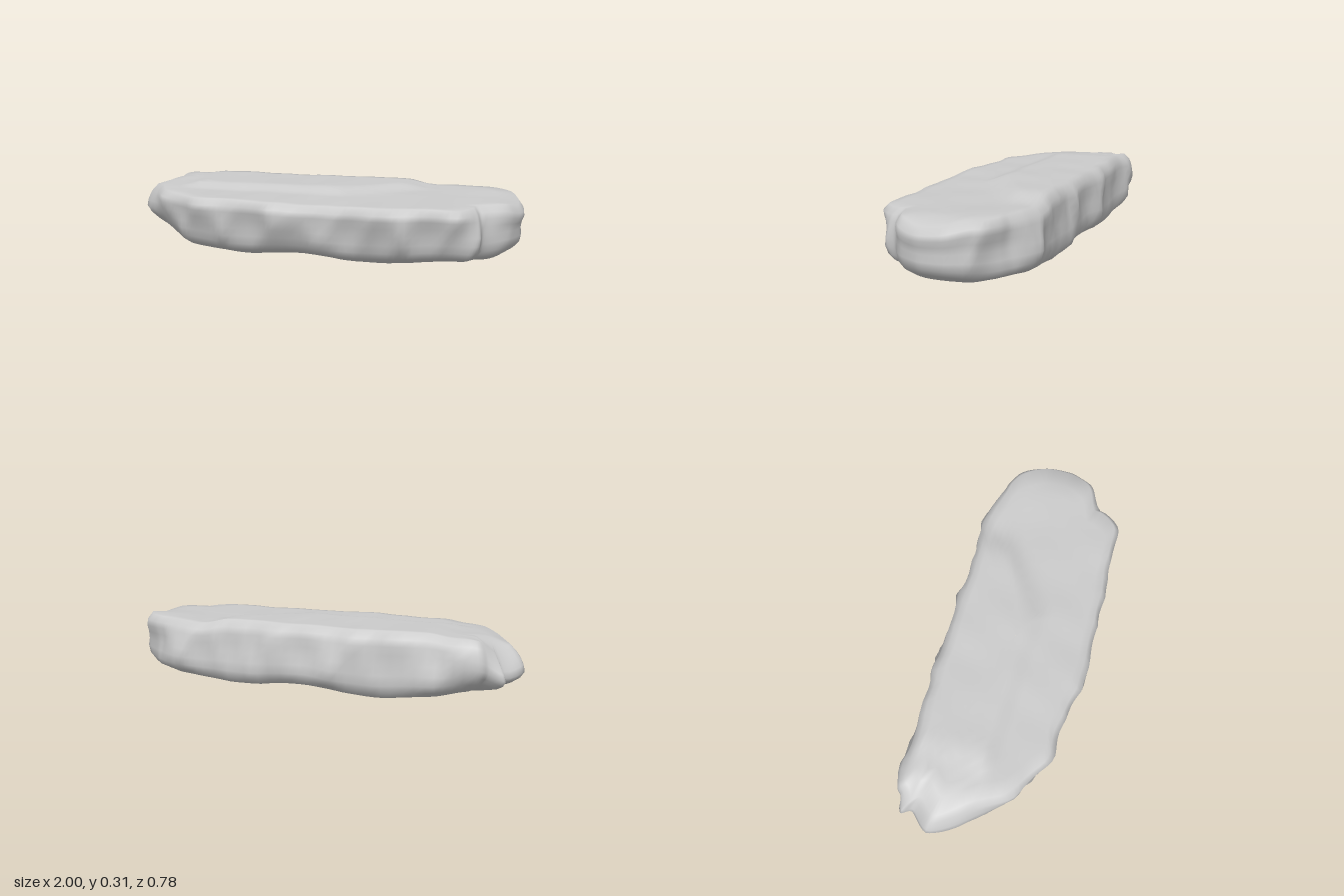
import * as THREE from 'three';

const { lerp, smoothstep } = THREE.MathUtils;

// Plan of the slab (x, z), from the left tip along the front and back again
const OUTLINE = [
  [-1, -0.12], [-0.94, 0.0], [-0.88, 0.09], [-0.78, 0.2], [-0.66, 0.27], [-0.54, 0.34],
  [-0.4, 0.345], [-0.25, 0.365], [-0.13, 0.38], [0.05, 0.375], [0.2, 0.37], [0.36, 0.35],
  [0.5, 0.34], [0.68, 0.33], [0.8, 0.3], [0.84, 0.265], [0.85, 0.22], [0.9, 0.17],
  [0.96, 0.1], [1, 0], [0.99, -0.12], [0.93, -0.23], [0.84, -0.31], [0.78, -0.335],
  [0.68, -0.375], [0.6, -0.385], [0.45, -0.375], [0.25, -0.37], [0, -0.365], [-0.2, -0.36],
  [-0.4, -0.35], [-0.65, -0.34], [-0.85, -0.33], [-0.89, -0.3], [-0.95, -0.27], [-0.93, -0.22],
];

// Wall profile: height fraction, and how far the wall steps in on each side
const LEVELS = [0, 0.08, 0.2, 0.35, 0.5, 0.65, 0.78, 0.89, 1];
const FRONT = [0.1, 0.065, 0.042, 0.028, 0.02, 0.01, 0.004, 0, 0.025];
const BACK = [0.045, 0.018, 0, 0, 0.006, 0.012, 0.018, 0.028, 0.06];
const LEFT = [0.17, 0.11, 0.06, 0.02, 0, 0.01, 0.025, 0.045, 0.08];
const RIGHT = [0.09, 0.04, 0.014, 0.008, 0.012, 0.008, 0, 0.004, 0.03];

const ripple = (a, b) =>
  0.5 * Math.sin(7 * a + 5 * b + 1.3) + 0.3 * Math.sin(17 * a - 9 * b) + 0.2 * Math.sin(29 * a + 13 * b);

// Hollow chips with sharp ridges between them, slanting across the wall
function chips(x, z, f) {
  const large = Math.abs(Math.sin(7.5 * x + 6 * z + 1.6 * f + 0.8 * ripple(x, z)));
  const small = Math.abs(Math.sin(15 * x - 9 * z - 2.4 * f + ripple(z, x)));
  return (0.026 * large + 0.012 * small - 0.014) * (0.45 + 0.55 * Math.sin(Math.PI * f));
}

// Top face: nearly level, with a raised shelf towards the back
function topHeight(x, z) {
  const shelf = Math.min(0.08 - z, 0.6 * (0.22 - x) + 0.8 * (0.02 - z), 0.8 * (x + 0.66), 0.8 * (0.47 - x));
  const notch = Math.hypot(x + 0.94, z + 0.22);
  return 0.287 - 0.03 * Math.max(z, 0) + 0.024 * smoothstep(shelf, -0.05, 0.06)
    + 0.01 * smoothstep(Math.abs(x), 0.5, 0.8) * smoothstep(-z, 0, 0.2)
    - 0.05 * smoothstep(-x, 0.78, 1) - 0.03 * smoothstep(x, 0.92, 1)
    - 0.05 * (1 - smoothstep(notch, 0.02, 0.13)) + 0.004 * ripple(x, z);
}

// Underside: shallow lumps, lifting at both ends
function bottomHeight(x, z) {
  return 0.018 - 0.013 * Math.cos(9 * (x + 0.34)) * smoothstep(Math.abs(z), 0.02, 0.22)
    + 0.03 * smoothstep(-x, 0.6, 0.85) + 0.035 * smoothstep(x, 0.82, 1) + 0.005 * ripple(z, x);
}

function stoneGeometry() {
  const curve = new THREE.CatmullRomCurve3(
    OUTLINE.map(([x, z]) => new THREE.Vector3(x, 0, z)), true, 'catmullrom', 0.35);
  const count = 180;
  const plan = Array.from({ length: count }, (_, i) => curve.getPoint(i / count));

  // A point of the wall, pulled towards the middle spine by the profile
  function wallPoint(p, k) {
    const f = LEVELS[k];
    const side = lerp(BACK[k], FRONT[k], smoothstep(p.z, -0.15, 0.15));
    const end = (p.x < 0 ? LEFT : RIGHT)[k];
    let inset = lerp(side, end, smoothstep(Math.abs(p.x), 0.65, 0.96));
    inset += chips(p.x, p.z, f) * (1 - 0.8 * smoothstep(Math.abs(p.x), 0.88, 0.98));
    // chipped front corner: the lower half sticks out
    const corner = Math.hypot(p.x - 0.85, p.z - 0.24);
    inset += 0.045 * (1 - smoothstep(corner, 0.02, 0.16)) * smoothstep(f, 0.4, 0.9);
    const dx = Math.max(-0.6, Math.min(0.6, p.x)) - p.x;
    const d = Math.hypot(dx, p.z);
    const x = p.x + dx / d * inset, z = p.z - p.z / d * inset;
    return [x, lerp(bottomHeight(x, z), topHeight(x, z), f), z];
  }

  // Rings run from the middle of the underside, up the wall, to the middle of the top
  const cap = Array.from({ length: 14 }, (_, j) => Math.max(0.001, j / 14.4));
  const capRing = (k, s, height) => plan.map((p) => {
    const [x, , z] = wallPoint(p, k);
    return [x * s, height(x * s, z * s), z * s];
  });
  const rings = [
    ...cap.map((s) => capRing(0, s, bottomHeight)),
    ...LEVELS.map((_, k) => plan.map((p) => wallPoint(p, k))),
    ...cap.toReversed().map((s) => capRing(LEVELS.length - 1, s, topHeight)),
  ];

  const index = [];
  for (let r = 0; r < rings.length - 1; r++) {
    for (let i = 0; i < count; i++) {
      const a = r * count + i, b = r * count + (i + 1) % count;
      index.push(a, b, b + count, a, b + count, a + count);
    }
  }
  const geometry = new THREE.BufferGeometry();
  geometry.setAttribute('position', new THREE.Float32BufferAttribute(rings.flat(2), 3));
  geometry.setIndex(index);

  // Settle on the ground, centred
  geometry.computeBoundingBox();
  const mid = geometry.boundingBox.getCenter(new THREE.Vector3());
  geometry.translate(-mid.x, -geometry.boundingBox.min.y, -mid.z);
  geometry.computeVertexNormals();
  return geometry;
}

export function createModel() {
  const group = new THREE.Group();
  group.name = 'flatRock';
  const stone = new THREE.Mesh(stoneGeometry(), new THREE.MeshStandardMaterial({ color: 0xcccccc }));
  stone.name = 'stoneSlab';
  group.add(stone);
  return group;
}
